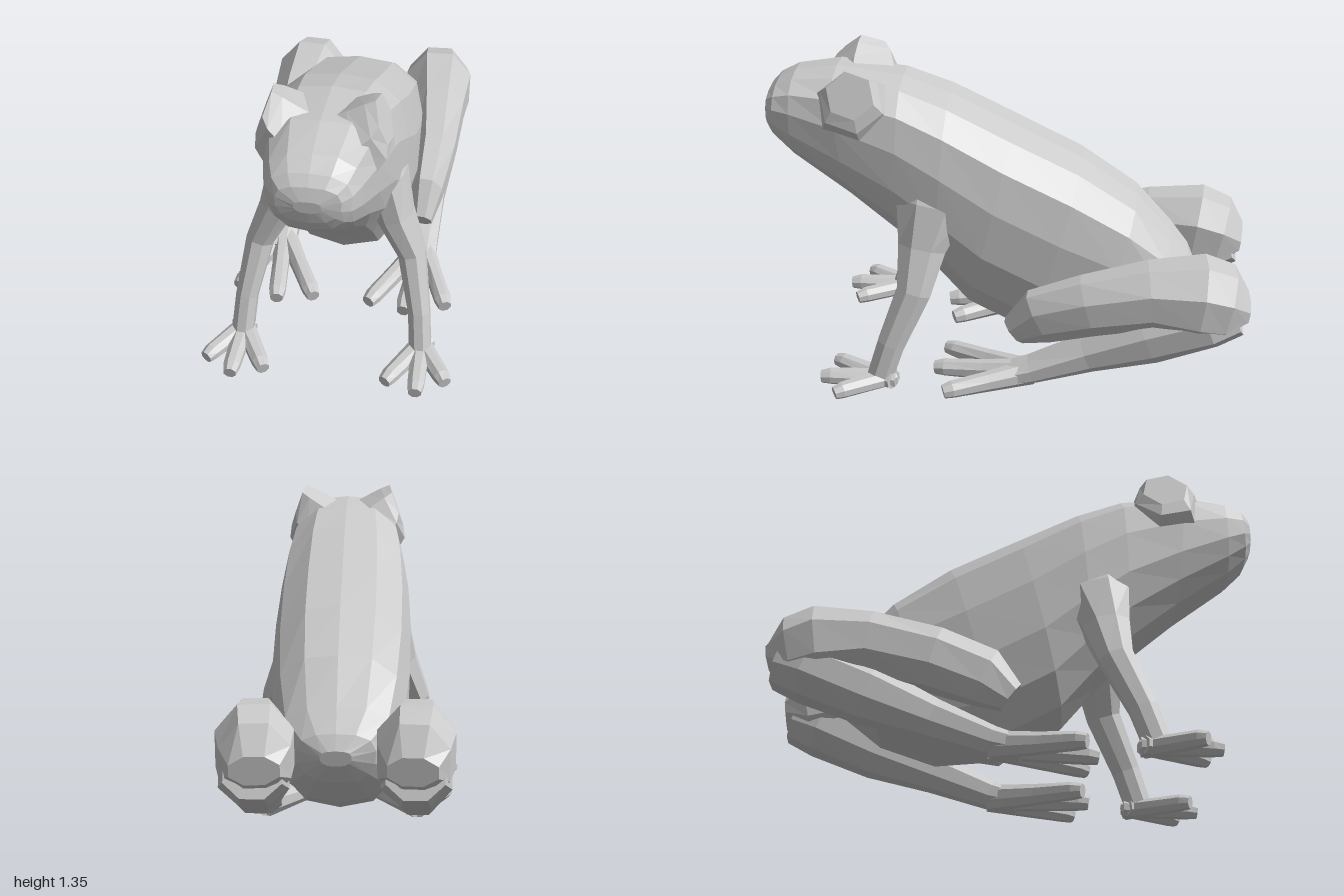
import * as THREE from 'three';

const material = new THREE.MeshStandardMaterial({ color: 0xcccccc, flatShading: true });

// Closed skin over a row of rings, each ring counter-clockwise around the direction of travel
function loft(name, rings) {
  const n = rings[0].length, last = (rings.length - 1) * n;
  const pos = [], index = [];
  rings.forEach(r => r.forEach(p => pos.push(p.x, p.y, p.z)));
  for (let i = 0; i < last; i += n) {
    for (let j = 0; j < n; j++) {
      const k = (j + 1) % n;
      index.push(i + j, i + k, i + n + k, i + j, i + n + k, i + n + j);
    }
  }
  for (let j = 1; j < n - 1; j++) {
    index.push(0, j + 1, j, last, last + j, last + j + 1);
  }
  const geo = new THREE.BufferGeometry();
  geo.setAttribute('position', new THREE.Float32BufferAttribute(pos, 3));
  geo.setIndex(index);
  const flat = geo.toNonIndexed();
  flat.computeVertexNormals();
  const mesh = new THREE.Mesh(flat, material);
  mesh.name = name;
  return mesh;
}

// Eight-sided limb through stations [x, y, z, half width, half depth]; side -1 mirrors it
function limb(name, side, stations) {
  const pts = stations.map(s => new THREE.Vector3(s[0], s[1], s[2]));
  const rings = stations.map((s, i) => {
    const t = pts[Math.min(i + 1, pts.length - 1)].clone().sub(pts[Math.max(i - 1, 0)]).normalize();
    const u = new THREE.Vector3(1, 0, 0).addScaledVector(t, -t.x).normalize();
    const v = t.clone().cross(u);
    const ring = [];
    for (let j = 0; j < 8; j++) {
      const a = ((j + 0.5) / 8) * Math.PI * 2;
      const p = pts[i].clone()
        .addScaledVector(u, Math.cos(a) * s[3] * 1.06)
        .addScaledVector(v, Math.sin(a) * s[4] * 1.06);
      p.x *= side;
      ring.push(p);
    }
    return side < 0 ? ring.reverse() : ring;
  });
  return loft(name, rings);
}

function makeBody() {
  // Half cross-section from spine to belly: [width share, height share]
  const half = [[0, 1], [0.5, 0.96], [0.87, 0.74], [1, 0.32], [0.98, -0.2], [0.82, -0.62], [0.52, -0.91], [0, -1]];
  const section = [...half, ...half.slice(1, -1).reverse().map(([x, y]) => [-x, y])];
  // Snout to rump: top z, top y, bottom z, bottom y, half width
  const stations = [
    [0.995, 1.15, 0.995, 1.1, 0.05],
    [0.975, 1.2, 0.985, 1.05, 0.12],
    [0.94, 1.235, 0.96, 1.0, 0.155],
    [0.87, 1.27, 0.88, 0.92, 0.18],
    [0.7, 1.295, 0.65, 0.75, 0.22],
    [0.43, 1.26, 0.45, 0.58, 0.255],
    [0.24, 1.19, 0.3, 0.42, 0.275],
    [-0.02, 1.06, 0.17, 0.26, 0.285],
    [-0.3, 0.92, -0.08, 0.125, 0.28],
    [-0.53, 0.76, -0.34, 0.105, 0.26],
    [-0.68, 0.59, -0.57, 0.19, 0.225],
    [-0.755, 0.5, -0.71, 0.3, 0.15],
    [-0.785, 0.44, -0.775, 0.38, 0.06],
  ];
  return loft('body', stations.map(([tz, ty, bz, by, w]) => section.map(([fx, fy]) => new THREE.Vector3(
    fx * w, (ty + by) / 2 + fy * (ty - by) / 2, (tz + bz) / 2 + fy * (tz - bz) / 2))));
}

// Bulging six-sided eye facing outward; rings: x, y, half height, half length, lean
function makeEye(side) {
  const rings = [
    [0.08, 1.13, 0.13, 0.16, 0.6],
    [0.155, 1.18, 0.122, 0.165, 0.6],
    [0.205, 1.225, 0.112, 0.135, 0.5],
    [0.222, 1.26, 0.092, 0.1, 0.35],
  ].map(([x, y, ry, rz, lean]) => {
    const ring = [];
    for (let j = 0; j < 6; j++) {
      const a = (j / 6) * Math.PI * 2 + 0.2;
      const c = Math.cos(a);
      ring.push(new THREE.Vector3(side * (x - c * ry * lean), y + c * ry, 0.61 + Math.sin(a) * rz));
    }
    return side < 0 ? ring.reverse() : ring;
  });
  return loft('eye', rings);
}

function makeFrontLeg(side) {
  const g = new THREE.Group();
  g.name = side > 0 ? 'leftFrontLeg' : 'rightFrontLeg';
  g.add(limb('frontArm', side, [
    [0.1, 0.93, 0.27, 0.1, 0.19],
    [0.195, 0.77, 0.3, 0.085, 0.15],
    [0.24, 0.6, 0.34, 0.075, 0.1],
    [0.315, 0.43, 0.37, 0.057, 0.072],
    [0.36, 0.2, 0.465, 0.045, 0.058],
    [0.375, 0.03, 0.52, 0.045, 0.055],
  ]));
  for (const [x, z] of [[0.495, 0.69], [0.38, 0.765], [0.25, 0.72]]) {
    const along = (k, y, w, h) => [0.375 + (x - 0.375) * k, y, 0.49 + (z - 0.49) * k, w, h];
    g.add(limb('frontToe', side, [
      along(-0.15, 0.036, 0.042, 0.036),
      along(0.2, 0.035, 0.04, 0.035),
      along(0.85, 0.033, 0.034, 0.033),
      along(1, 0.028, 0.026, 0.026),
    ]));
  }
  return g;
}

function makeHindLeg(side) {
  const g = new THREE.Group();
  g.name = side > 0 ? 'leftHindLeg' : 'rightHindLeg';
  // The thigh ends in the rounded knee, which also swallows the top of the shin
  g.add(limb('thigh', side, [
    [0.31, 0.26, -0.045, 0.045, 0.065],
    [0.32, 0.34, -0.15, 0.07, 0.12],
    [0.33, 0.41, -0.35, 0.092, 0.13],
    [0.315, 0.465, -0.6, 0.122, 0.14],
    [0.3, 0.455, -0.8, 0.15, 0.175],
    [0.29, 0.425, -0.91, 0.135, 0.16],
    [0.285, 0.415, -0.995, 0.095, 0.055],
  ]));
  g.add(limb('shin', side, [
    [0.295, 0.4, -0.95, 0.11, 0.1],
    [0.3, 0.36, -0.84, 0.135, 0.115],
    [0.31, 0.265, -0.6, 0.105, 0.115],
    [0.31, 0.165, -0.35, 0.075, 0.08],
    [0.315, 0.075, -0.12, 0.065, 0.058],
    [0.315, 0.045, 0.0, 0.065, 0.045],
  ]));
  for (const [x, z] of [[0.45, 0.24], [0.275, 0.295], [0.12, 0.26]]) {
    const along = (k, y, w, h) => [0.315 + (x - 0.315) * k, y, -0.12 + (z + 0.12) * k, w, h];
    g.add(limb('hindToe', side, [
      along(0, 0.06, 0.045, 0.055),
      along(0.5, 0.045, 0.036, 0.043),
      along(0.9, 0.036, 0.036, 0.035),
      along(1, 0.03, 0.027, 0.028),
    ]));
  }
  return g;
}

export function createModel() {
  const frog = new THREE.Group();
  frog.name = 'frog';
  frog.add(makeBody());
  for (const side of [1, -1]) {
    frog.add(makeEye(side), makeFrontLeg(side), makeHindLeg(side));
  }
  return frog;
}
